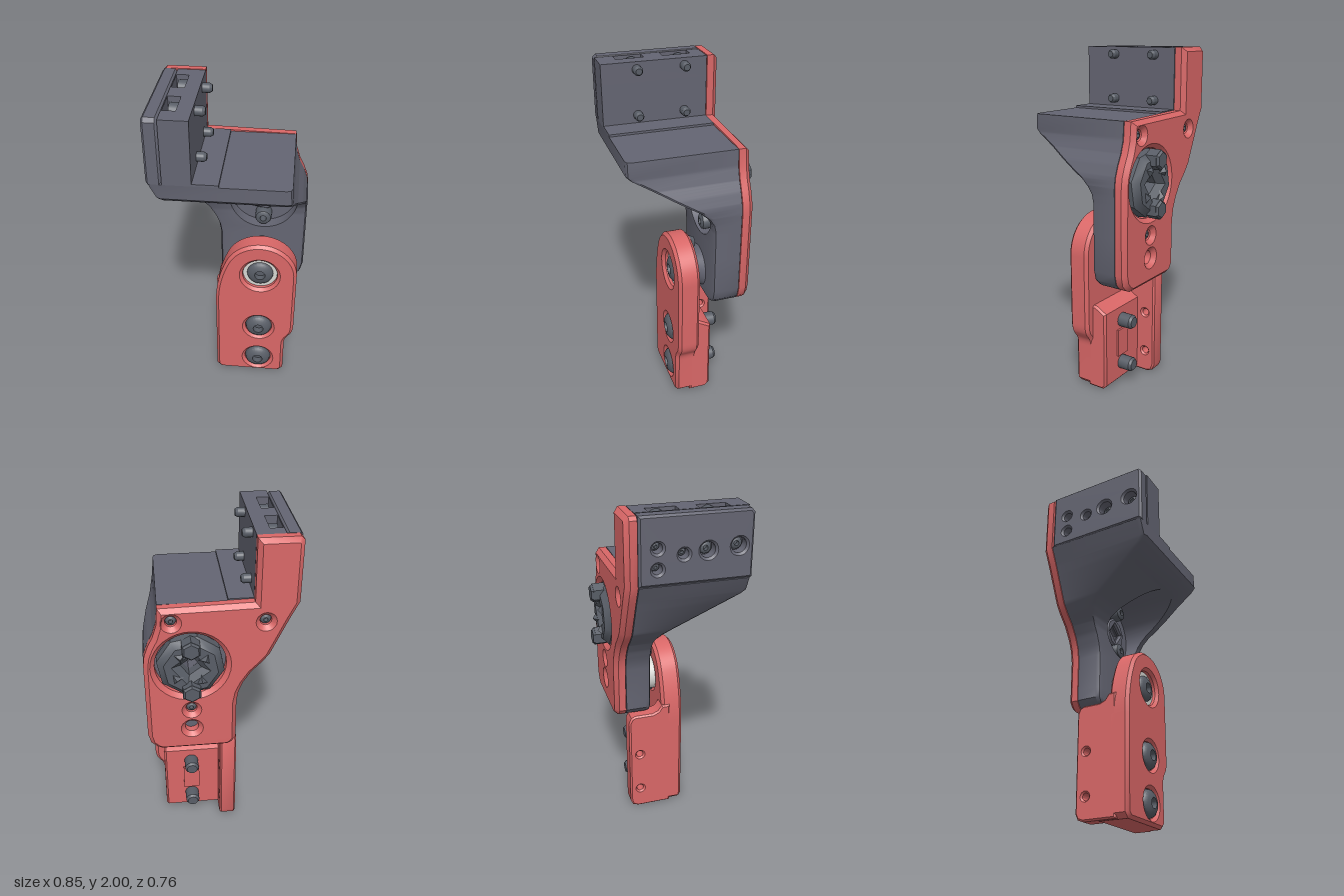
import * as THREE from 'three';
import { toCreasedNormals } from 'three/addons/utils/BufferGeometryUtils.js';

const mat = (name, color, side = THREE.FrontSide) => {
  const m = new THREE.MeshStandardMaterial({ color, side });
  m.name = name;
  return m;
};

const CX = 0.16, CY = 1.27, R = 0.2; // hub axis and recess radius
const AXLE = 0.835;                  // height of the joint axle

// Piecewise linear lookup
const lerp = (table, y) => {
  if (y <= table[0][0]) return table[0][1];
  for (let i = 1; i < table.length; i++) {
    const [y0, v0] = table[i - 1], [y1, v1] = table[i];
    if (y <= y1) return v0 + (v1 - v0) * (y - y0) / (y1 - y0);
  }
  return table[table.length - 1][1];
};
// Body half-widths and front depth, as [y, value]
const rightEdge = [[0.68, 0.34], [0.695, 0.37], [0.73, 0.405], [0.79, 0.42], [1.28, 0.42], [1.34, 0.412],
  [1.4, 0.39], [1.46, 0.36], [1.53, 0.338], [1.63, 0.33]];
const leftEdge = [[0.68, -0.05], [0.695, -0.075], [0.73, -0.1], [1.0, -0.1], [1.07, -0.112], [1.13, -0.137],
  [1.2, -0.182], [1.26, -0.24], [1.31, -0.28], [1.53, -0.38], [1.63, -0.43]];
const frontDepth = [[0.68, -0.1], [0.7, -0.085], [1.18, -0.085], [1.23, -0.075], [1.27, -0.05], [1.31, -0.005],
  [1.52, 0.355], [1.545, 0.38], [1.63, 0.38]];

// Skin over convex rings that run counter-clockwise seen from above
function loft(rings) {
  const pos = [], tri = (...p) => p.forEach((q) => pos.push(...q));
  const n = rings[0].length, top = rings[rings.length - 1], bot = rings[0];
  for (let i = 0; i + 1 < rings.length; i++) for (let j = 0; j < n; j++) {
    const k = (j + 1) % n, a = rings[i], b = rings[i + 1];
    tri(a[j], a[k], b[k]);
    tri(a[j], b[k], b[j]);
  }
  for (let j = 1; j + 1 < n; j++) {
    tri(top[0], top[j], top[j + 1]);
    tri(bot[0], bot[j + 1], bot[j]);
  }
  const g = new THREE.BufferGeometry();
  g.setAttribute('position', new THREE.Float32BufferAttribute(pos, 3));
  return g;
}

// Half of the body, left (s = -1) or right (s = 1) of the hub axis, with the round recess cut out
function bodyHalf(s) {
  const ys = new Set([...rightEdge, ...leftEdge, ...frontDepth].map((p) => p[0]));
  for (let i = 0; i <= 24; i++) ys.add(CY + R * Math.sin(-Math.PI / 2 + Math.PI * i / 24));
  const rings = [...ys].sort((a, b) => a - b).map((y) => {
    const xi = CX + s * Math.sqrt(Math.max(0, R * R - (y - CY) ** 2));
    const xo = lerp(s > 0 ? rightEdge : leftEdge, y), zf = lerp(frontDepth, y), c = 0.03;
    const ring = [[xi, y, zf], [xo - s * c, y, zf], [xo - s * c * 0.3, y, zf - c * 0.3], [xo, y, zf - c],
      [xo, y, -0.24], [xi, y, -0.24]];
    return s > 0 ? ring : ring.reverse();
  });
  return loft(rings);
}

const poly = (pts) => new THREE.Shape(pts.map((p) => new THREE.Vector2(...p)));
const rect = (x0, y0, x1, y1) => poly([[x0, y0], [x1, y0], [x1, y1], [x0, y1]]);
const ngon = (x, y, r, n, turn = 0) => poly(Array.from({ length: n }, (_, i) => {
  const a = turn + i * 2 * Math.PI / n;
  return [x + r * Math.cos(a), y + r * Math.sin(a)];
}));
const withHoles = (shape, ...holes) => { shape.holes.push(...holes); return shape; };

// Extrusion from z0 to z1; chamfered on both ends, or only on the back one
function slab(shape, z0, z1, b = 0, backOnly = false) {
  const d = z1 - z0 - 2 * b;
  const g = new THREE.ExtrudeGeometry(shape, { depth: d, bevelEnabled: b > 0, bevelSize: b, bevelThickness: b,
    bevelOffset: -b, bevelSegments: 1, curveSegments: 14 });
  if (backOnly) {
    const p = g.attributes.position;
    for (let i = 0; i < p.count; i++) if (Math.abs(p.getZ(i) - d) < 1e-5) p.setZ(i, d + b - 0.001);
  }
  return g.translate(0, 0, z0 + b);
}
const alongX = (g) => g.rotateY(Math.PI / 2);  // shape is drawn in (-z, y)
const alongY = (g) => g.rotateX(-Math.PI / 2); // shape is drawn in (x, -z)

const rod = (x, y, z0, z1, r0, r1 = r0, n = 24) =>
  new THREE.CylinderGeometry(r1, r0, z1 - z0, n).rotateX(Math.PI / 2).translate(x, y, (z0 + z1) / 2);

// Round screw head with a socket, facing +z, base at z = 0
function screwHead(r, h, dome = 0.5) {
  const s = r * 0.38;
  const pts = [[0, h * 0.3], [s, h * 0.3], [s, h], [r * 0.7, h * (1 - 0.15 * dome)],
    [r * 0.9, h * (1 - 0.45 * dome)], [r, h * (1 - dome)], [r, 0]];
  return new THREE.LatheGeometry(pts.reverse().map((p) => new THREE.Vector2(...p)), 24).rotateX(Math.PI / 2);
}

export function createModel() {
  const model = new THREE.Group();
  const red = mat('red', 0xd96767), grey = mat('slate grey', 0x646572);
  const steel = mat('dark steel', 0x585d66, THREE.DoubleSide), pale = mat('pale ring', 0xd6d6d2);
  const add = (name, geo, material) => {
    const mesh = new THREE.Mesh(toCreasedNormals(geo, 0.6), material);
    mesh.name = name;
    model.add(mesh);
  };

  // Main body
  add('bodyRight', bodyHalf(1), grey);
  add('bodyLeft', bodyHalf(-1), grey);
  add('bodyTopStep', alongX(slab(rect(-0.38, 1.63, 0.24, 1.643), -0.2, -0.05)), grey);

  // Upright wall: solid base, slotted top, outer cover with screw holes
  const wall = () => rect(-0.345, -0.38, -0.19, 0.24);
  const slots = [[-0.165, 0], [0.11, 0.275]].map(([a, b]) => rect(-0.34, -b, -0.27, -a));
  add('wallBase', alongY(slab(wall(), 1.63, 1.88)), grey);
  add('wallTop', alongY(slab(withHoles(wall(), ...slots), 1.88, 1.998)), grey);
  const coverScrews = [[-0.14, 1.83, 0.028], [-0.14, 1.72, 0.028], [0, 1.79, 0.028], [0.13, 1.8, 0.042], [0.3, 1.81, 0.042]];
  const cover = poly([[-0.38, 1.63], [0.24, 1.63], [0.24, 2], [-0.36, 2], [-0.38, 1.98]]);
  withHoles(cover, ...coverScrews.map(([z, y, r]) => ngon(-z, y, r, 20)));
  add('wallCover', alongX(slab(cover, -0.43, -0.347, 0.012)), grey);
  for (const [z, y, r] of coverScrews)
    add('coverScrew', screwHead(r * 0.85, 0.04).rotateY(-Math.PI / 2).translate(-0.345, y, z), steel);
  for (const z of [0.175, -0.105]) {
    add('slotNut', alongX(rod(-z, 1.945, -0.32, -0.27, 0.048)), steel);
    for (const y of [1.955, 1.69]) {
      add('wallPin', alongX(rod(-z, y, -0.2, -0.15, 0.027)), steel);
      add('wallPinTip', alongX(rod(-z, y, -0.15, -0.135, 0.027, 0.018)), steel);
    }
  }

  // Back plate follows the body outline and rises behind the wall
  const plate = poly([...rightEdge.map(([y, x]) => [x, y]), [-0.19, 1.64], [-0.19, 2], [-0.41, 2], [-0.43, 1.98],
    ...[...leftEdge].reverse().map(([y, x]) => [x, y])]);
  const plateScrews = [[0.26, 1.55], [-0.25, 1.53], [CX, 0.97]];
  withHoles(plate, ngon(CX, CY, R, 36), ngon(CX, AXLE, 0.04, 20), ...plateScrews.map(([x, y]) => ngon(x, y, 0.032, 20)));
  add('backPlate', slab(plate, -0.31, -0.243, 0.025, true), red);
  for (const [x, y] of plateScrews)
    add('plateScrew', screwHead(0.031, 0.045).rotateY(Math.PI).translate(x, y, -0.24), steel);

  // Hub with a square through-hole
  const bore = () => ngon(CX, CY, 0.06, 4, 0.15);
  add('hubFloor', slab(withHoles(ngon(CX, CY, R + 0.004, 40), bore()), -0.24, -0.165), grey);
  add('hubFront', slab(withHoles(ngon(CX, CY, 0.105, 8, 0.2), bore()), -0.165, -0.13, 0.012), grey);
  add('hubBack', slab(withHoles(ngon(CX, CY, 0.192, 8, 0.2), bore()), -0.335, -0.24, 0.035, true), steel);
  for (let i = 0; i < 4; i++) {
    const a = 0.15 + Math.PI / 4 + i * Math.PI / 2;
    add('hubTooth', new THREE.ConeGeometry(0.04, 0.03, 3).rotateX(-Math.PI / 2).rotateZ(a)
      .translate(CX + 0.1 * Math.cos(a), CY + 0.1 * Math.sin(a), -0.345), steel);
  }
  for (const y of [CY + 0.14, CY - 0.14]) {
    add('hubBolt', screwHead(0.05, 0.08, 0.25).translate(CX, y, -0.166), steel);
    add('hubNut', rod(CX, y, -0.37, -0.3, 0.058, 0.058, 6), steel);
    add('hubNutTip', rod(CX, y, -0.383, -0.37, 0.045, 0.055, 6), steel);
  }

  // Joint between body and lower bracket
  add('jointBoss', rod(CX, AXLE, -0.09, -0.045, 0.13, 0.1), grey);
  add('jointRing', slab(withHoles(ngon(CX, AXLE, 0.106, 32), ngon(CX, AXLE, 0.07, 32)), -0.05, 0.075), pale);
  add('jointBolt', screwHead(0.084, 0.055, 0.7).translate(CX, AXLE, 0.05), steel);
  for (const y of [1.0, 0.75]) add('jointScrew', rod(CX, y, -0.05, -0.018, 0.03, 0.042), steel);

  // Lower bracket: rounded front plate
  const boltYs = [0.405, 0.125];
  const front = new THREE.Shape();
  front.moveTo(-0.085, 0);
  front.lineTo(0.3, 0);
  front.lineTo(0.33, 0.03);
  front.lineTo(0.33, 0.26);
  front.bezierCurveTo(0.33, 0.34, 0.385, 0.32, 0.385, 0.42);
  front.lineTo(0.385, AXLE);
  front.absarc(CX, AXLE, 0.225, 0, 2.7, false);
  front.quadraticCurveTo(-0.115, 0.78, -0.115, 0.6);
  front.lineTo(-0.115, 0.03);
  withHoles(front, ngon(CX, AXLE, 0.108, 32), ...boltYs.map((y) => ngon(CX, y, 0.086, 28)));
  add('frontPlate', slab(front, -0.02, 0.11, 0.018), red);

  // Lower bracket: rear block, side flange and bolts
  add('rearBlock', alongX(slab(poly([[-0.02, 0], [0.085, 0], [0.11, 0.025], [0.11, 0.49], [0.04, 0.53], [-0.02, 0.53]]),
    -0.1, 0.33, 0.012)), red);
  add('blockRib', new THREE.BoxGeometry(0.1, 0.17, 0.02).translate(CX, 0.265, -0.112), red);
  const flange = poly([[-0.03, 0.002], [0.18, 0.002], [0.215, 0.015], [0.23, 0.05], [0.23, 0.635], [0.215, 0.668],
    [0.19, 0.68], [0.08, 0.68], [0.045, 0.695], [0.02, 0.73], [-0.03, 0.73]]);
  withHoles(flange, ...[0.4, 0.14].map((y) => ngon(0.165, y, 0.022, 16)));
  add('sideFlange', alongX(slab(flange, -0.115, -0.015, 0.01)), red);
  for (const y of boltYs) {
    add('bracketBolt', screwHead(0.085, 0.06, 0.75).translate(CX, y, 0.067), steel);
    add('boltSeat', rod(CX, y, -0.03, 0.07, 0.086), steel);
    add('boltShank', rod(CX, y, -0.185, -0.1, 0.043), steel);
    add('boltTip', rod(CX, y, -0.2, -0.185, 0.032, 0.043), steel);
  }
  return model;
}
